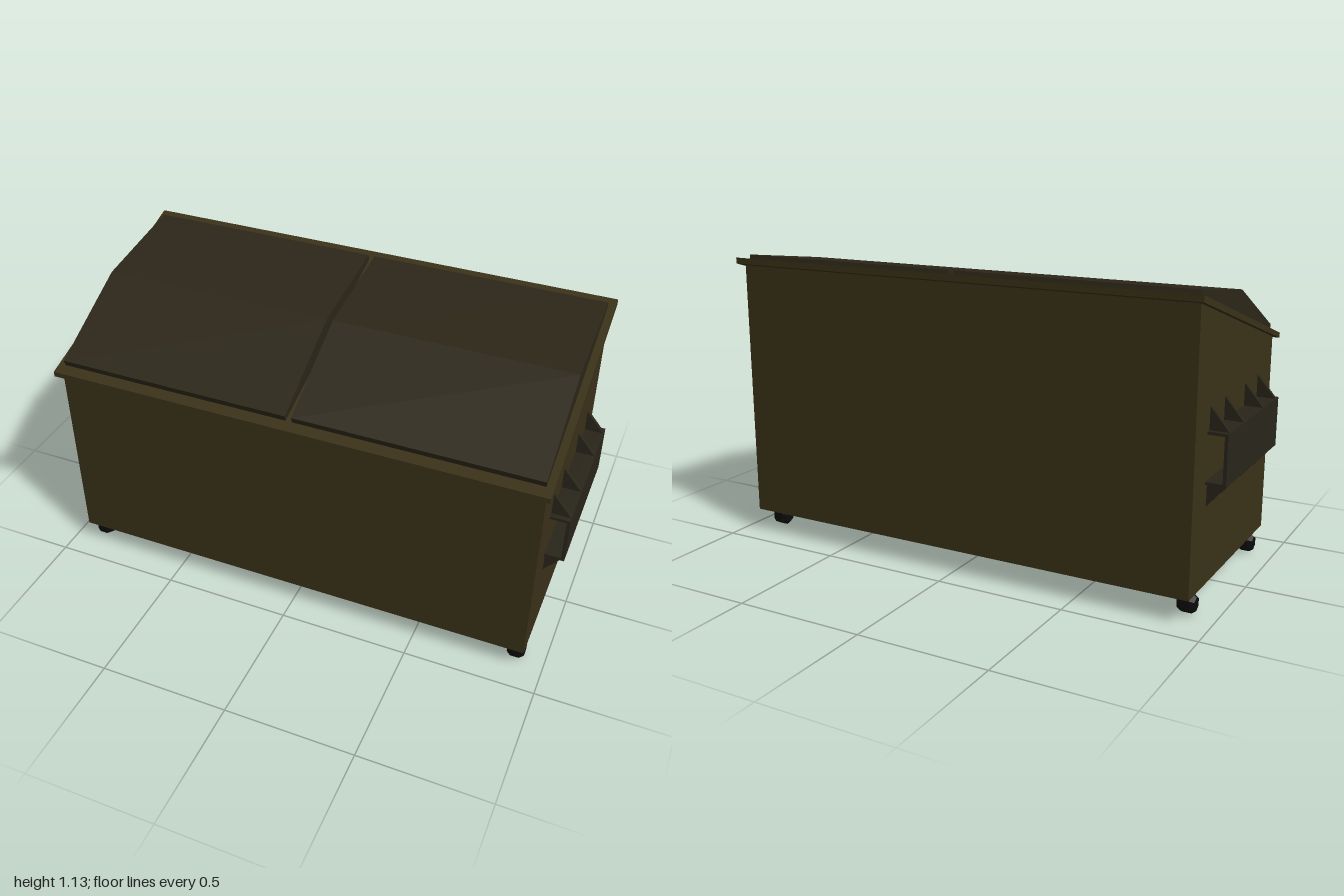
import * as THREE from 'three';

const material = (color) => new THREE.MeshStandardMaterial({ color, flatShading: true });

// Extrudes a side profile of [z, y] points across the width from x0 to x1
function acrossX(profile, x0, x1) {
  const shape = new THREE.Shape(profile.map(([z, y]) => new THREE.Vector2(-z, y)));
  const geometry = new THREE.ExtrudeGeometry(shape, { depth: x1 - x0, bevelEnabled: false });
  return geometry.rotateY(Math.PI / 2).translate(x0, 0, 0);
}

export function createModel() {
  const model = new THREE.Group();
  const paint = material(0x3a3118);
  const lidPaint = material(0x2c2618);
  const pocketPaint = material(0x29251a);
  const rubber = material(0x0c0c0c);

  const add = (name, geometry, mat, parent = model) => {
    const mesh = new THREE.Mesh(geometry, mat);
    mesh.name = name;
    parent.add(mesh);
    return mesh;
  };
  const box = (name, size, position, mat, parent) =>
    add(name, new THREE.BoxGeometry(...size), mat, parent).position.set(...position);

  // Container with a top that slopes down to the front
  add('body', acrossX([[0.41, 0.085], [0.41, 0.85], [-0.41, 1.1], [-0.41, 0.085]], -0.928, 0.928), paint);

  // Overhanging sloped rim
  add('rim', acrossX([[0.44, 0.835], [0.44, 0.855], [-0.44, 1.12], [-0.44, 1.097]], -0.947, 0.947), paint);

  // Two folded lids with a narrow gap between them
  const lidProfile = [[0.397, 0.86], [0.405, 0.89], [0.027, 1.073], [-0.39, 1.128], [-0.397, 1.1]];
  add('rightLid', acrossX(lidProfile, -0.92, -0.012), lidPaint);
  add('leftLid', acrossX(lidProfile, 0.012, 0.92), lidPaint);

  // Fork pockets: an open sleeve braced by triangular gussets
  for (const side of [-1, 1]) {
    const pocket = new THREE.Group();
    pocket.name = side > 0 ? 'leftForkPocket' : 'rightForkPocket';
    model.add(pocket);
    box('pocketFace', [0.012, 0.185, 0.575], [side * 0.994, 0.5525, -0.007], pocketPaint, pocket);
    for (const end of [-1, 1]) {
      const edgeY = 0.5525 + end * 0.0925;
      box('pocketShelf', [0.07, 0.01, 0.575], [side * 0.96, edgeY - end * 0.005, -0.007], pocketPaint, pocket);
      for (const z of [0.253, 0.102, -0.118, -0.268]) {
        const triangle = new THREE.Shape([
          new THREE.Vector2(side * 0.925, edgeY - end * 0.005),
          new THREE.Vector2(side * 0.998, edgeY - end * 0.005),
          new THREE.Vector2(side * 0.998, edgeY),
          new THREE.Vector2(side * 0.925, edgeY + end * 0.086),
        ]);
        const gusset = new THREE.ExtrudeGeometry(triangle, { depth: 0.015, bevelEnabled: false });
        add('gusset', gusset.translate(0, 0, z - 0.0075), pocketPaint, pocket);
      }
    }
  }

  // Casters: six-sided wheels with chamfered rims, on offset stems
  const wheelProfile = [[0, -0.032], [0.026, -0.032], [0.038, -0.016], [0.038, 0.016], [0.026, 0.032], [0, 0.032]]
    .map(([r, y]) => new THREE.Vector2(r, y));
  for (const side of [-1, 1]) {
    for (const end of [-1, 1]) {
      const caster = new THREE.Group();
      caster.name = (end > 0 ? 'front' : 'back') + (side > 0 ? 'Left' : 'Right') + 'Caster';
      caster.position.set(side * 0.89, 0, end > 0 ? 0.341 : -0.308);
      model.add(caster);
      const wheel = new THREE.LatheGeometry(wheelProfile, 6, Math.PI / 2).rotateZ(Math.PI / 2);
      add('wheel', wheel.translate(0, 0.033, 0), rubber, caster);
      box('stem', [0.035, 0.06, 0.035], [-side * 0.015, 0.06, -end * 0.022], rubber, caster);
    }
  }
  return model;
}
